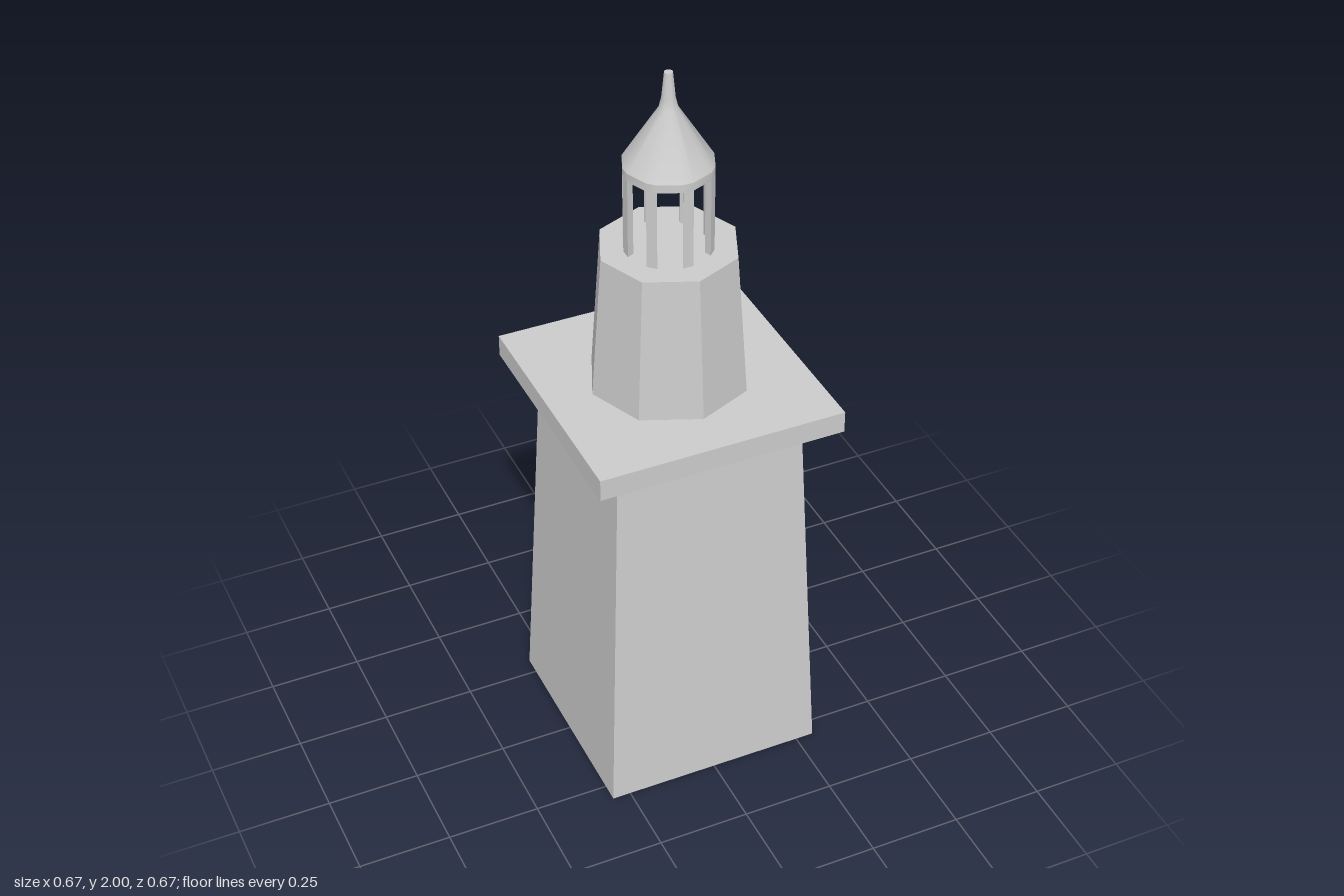
import * as THREE from 'three';
import { toCreasedNormals } from 'three/addons/utils/BufferGeometryUtils.js';

const material = new THREE.MeshStandardMaterial({ color: 0xcccccc });

// Solid swept round the y axis: rows of [radius, y], corners at the given angles.
function loft(name, rows, angles) {
  const n = angles.length;
  const point = ([r, y], k) => [r * Math.sin(angles[k % n]), y, r * Math.cos(angles[k % n])];
  const positions = [];
  for (let i = 0; i < rows.length - 1; i++) {
    const [low, high] = [rows[i], rows[i + 1]];
    for (let k = 0; k < n; k++) {
      const a = point(low, k), b = point(low, k + 1);
      const c = point(high, k + 1), d = point(high, k);
      if (low[0] > 0) positions.push(...a, ...b, ...c);
      if (high[0] > 0) positions.push(...a, ...c, ...d);
    }
  }
  const geometry = new THREE.BufferGeometry();
  geometry.setAttribute('position', new THREE.Float32BufferAttribute(positions, 3));
  const mesh = new THREE.Mesh(toCreasedNormals(geometry, 0.5), material);
  mesh.name = name;
  return mesh;
}

const regular = (n, start = 0) => Array.from({ length: n }, (_, k) => start + (k * 2 * Math.PI) / n);
const square = regular(4, Math.PI / 4);
const octagon = regular(8);
// Octagon with each corner cut to the width of a post
const cutOctagon = octagon.flatMap((a) => [a - 0.12, a + 0.12]);
const squareRows = (rows) => rows.map(([half, y]) => [half * Math.SQRT2, y]);

export function createModel() {
  const model = new THREE.Group();
  model.name = 'lighthouse';

  // Tapered square tower and the gallery slab with its sloped underside
  model.add(loft('tower', squareRows([[0, 0], [0.3, 0], [0.255, 1.03], [0, 1.03]]), square));
  model.add(loft('gallery', squareRows([[0, 1.03], [0.255, 1.03], [0.333, 1.065], [0.333, 1.125], [0, 1.125]]), square));

  // Octagonal upper stage
  model.add(loft('upperStage', [[0, 1.125], [0.211, 1.125], [0.182, 1.52], [0, 1.52]], octagon));

  // Eight lantern posts, narrower on the inside
  const postShape = new THREE.Shape([
    new THREE.Vector2(-0.014, -0.115), new THREE.Vector2(0.014, -0.115),
    new THREE.Vector2(0.006, -0.097), new THREE.Vector2(-0.006, -0.097),
  ]);
  const postGeometry = new THREE.ExtrudeGeometry(postShape, { depth: 0.22, bevelEnabled: false });
  postGeometry.rotateX(-Math.PI / 2).translate(0, 1.518, 0);
  const posts = new THREE.Group();
  posts.name = 'lanternPosts';
  for (const angle of octagon) {
    const post = new THREE.Mesh(postGeometry, material);
    post.name = 'post';
    post.rotation.y = angle;
    posts.add(post);
  }
  model.add(posts);

  // Hollow roof: inner side, eave, outer cone, finial
  model.add(loft('roof', [
    [0, 1.89], [0.097, 1.757], [0.097, 1.735], [0.116, 1.735], [0.116, 1.757],
    [0.024, 1.905], [0.018, 1.93], [0.011, 2], [0, 2],
  ], cutOctagon));

  return model;
}
